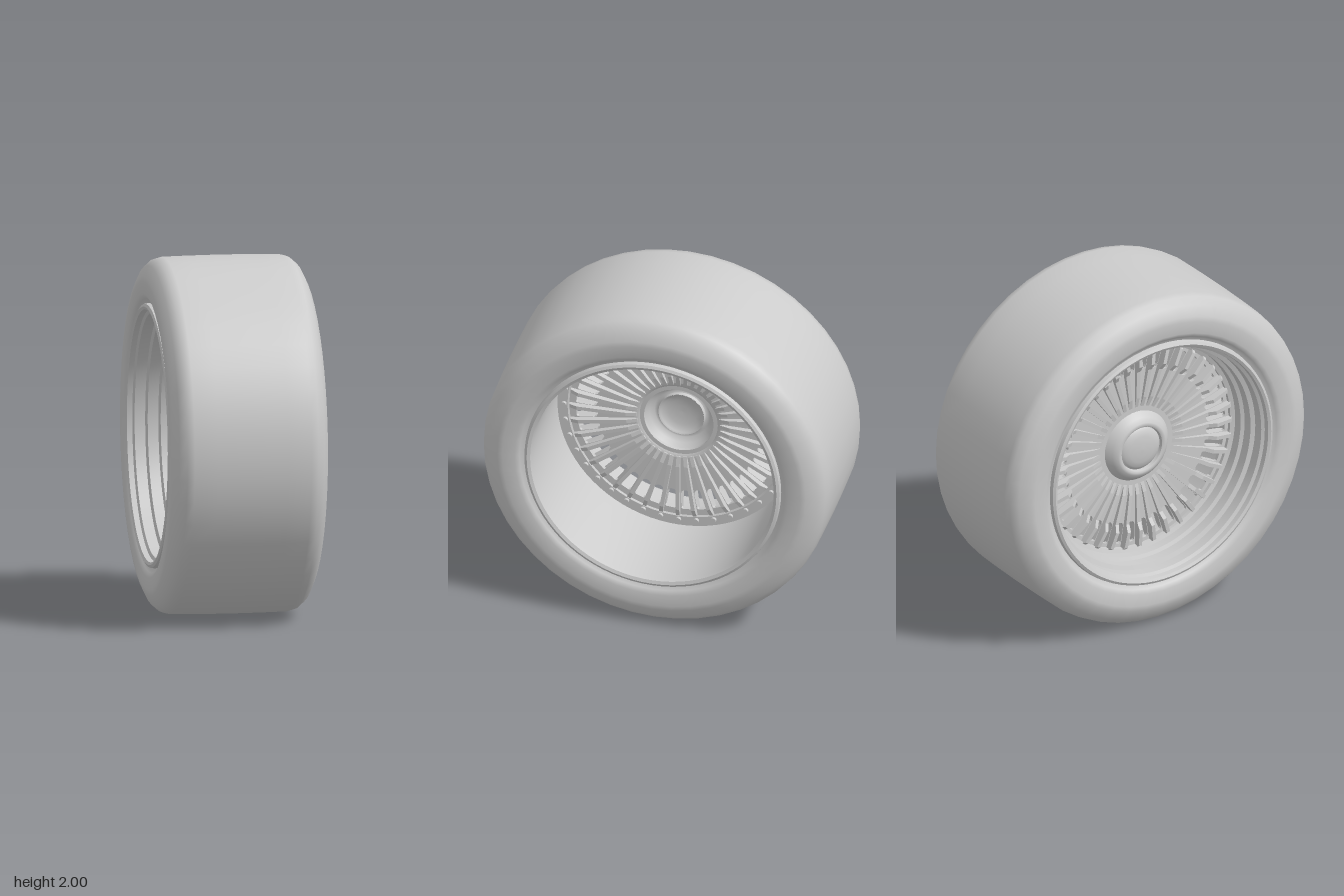
import * as THREE from 'three';
import { toCreasedNormals } from 'three/addons/utils/BufferGeometryUtils.js';

const COUNT = 40; // spokes, slots and bolts
const STEP = (Math.PI * 2) / COUNT;
const material = new THREE.MeshStandardMaterial({ color: 0xcccccc, side: THREE.DoubleSide });

// Revolves [radius, axial] points around the z axis
function revolve(name, points, segments, crease) {
  let g = new THREE.LatheGeometry(points.map(([r, a]) => new THREE.Vector2(r, a)), segments);
  g.rotateX(Math.PI / 2);
  if (crease) g = toCreasedNormals(g, crease);
  const mesh = new THREE.Mesh(g, material);
  mesh.name = name;
  return mesh;
}

// Adds COUNT copies of a geometry in a ring around the z axis
function ring(name, geometry) {
  const group = new THREE.Group();
  group.name = name + 's';
  for (let i = 0; i < COUNT; i++) {
    const mesh = new THREE.Mesh(geometry, material);
    mesh.name = name;
    mesh.rotation.z = i * STEP;
    group.add(mesh);
  }
  return group;
}

// Tyre: half section from tread centre to bead, mirrored
function makeTyre() {
  const half = [[1, 0], [0.998, 0.2], [0.995, 0.33], [0.985, 0.37], [0.95, 0.41], [0.89, 0.438],
    [0.86, 0.442], [0.79, 0.44], [0.765, 0.425], [0.75, 0.41], [0.72, 0.4]];
  const mirrored = half.slice(1).reverse().map(([r, a]) => [r, -a]);
  return revolve('tyre', [...mirrored, ...half], 48);
}

// Rim: deep plain barrel on one side, flange, stepped well on the other
function makeRim() {
  return revolve('rim', [
    [0.74, 0.405], [0.735, 0.43], [0.72, 0.438], [0.702, 0.43], [0.698, 0.40],
    [0.698, -0.14], [0.64, -0.14], [0.615, -0.165], [0.615, -0.185], [0.64, -0.195],
    [0.64, -0.25], [0.66, -0.26], [0.66, -0.32], [0.685, -0.33], [0.685, -0.39],
    [0.702, -0.40], [0.705, -0.43], [0.72, -0.438], [0.735, -0.43], [0.74, -0.405],
  ], 80, 0.7);
}

// Disc pierced by slots with round inner ends
function makeDisc() {
  const shape = new THREE.Shape().absarc(0, 0, 0.63, 0, Math.PI * 2, false);
  shape.holes.push(new THREE.Path().absarc(0, 0, 0.2, 0, Math.PI * 2, true));
  const outline = [[0.585, -0.031], [0.592, -0.024], [0.592, 0.024], [0.585, 0.031],
    [0.49, 0.026], [0.476, 0.02], [0.468, 0.009], [0.468, -0.009], [0.476, -0.02], [0.49, -0.026]];
  for (let i = 0; i < COUNT; i++) {
    const t = (i + 0.5) * STEP, c = Math.cos(t), s = Math.sin(t);
    shape.holes.push(new THREE.Path(outline.map(([r, w]) =>
      new THREE.Vector2(r * c - w * s, r * s + w * c))));
  }
  const g = new THREE.ExtrudeGeometry(shape, { depth: 0.02, bevelEnabled: false, curveSegments: 80 });
  g.translate(0, 0, -0.165);
  const mesh = new THREE.Mesh(g, material);
  mesh.name = 'slottedDisc';
  return mesh;
}

// Spoke: upright fin with a step on the outer side, drawn as radius against depth
function makeSpokes() {
  const side = [[0.24, -0.135], [0.3, -0.12], [0.58, -0.11], [0.625, -0.125], [0.635, -0.17],
    [0.61, -0.205], [0.51, -0.215], [0.47, -0.19], [0.3, -0.18], [0.24, -0.165]];
  const shape = new THREE.Shape(side.map(([r, a]) => new THREE.Vector2(r, a)));
  const g = new THREE.ExtrudeGeometry(shape, { depth: 0.022, bevelEnabled: false });
  g.translate(0, 0, -0.011).rotateX(Math.PI / 2);
  return ring('spoke', g);
}

// Bolts through the flange
function makeBolts() {
  const g = new THREE.CylinderGeometry(0.016, 0.016, 0.085, 10);
  g.rotateX(Math.PI / 2).translate(0.66, 0, -0.165);
  return ring('bolt', g);
}

export function createModel() {
  const model = new THREE.Group();
  model.name = 'wheel';
  const hub = revolve('hub', [
    [0.25, -0.14], [0.225, -0.145], [0.215, -0.16], [0.185, -0.2], [0.16, -0.222],
    [0.145, -0.225], [0.135, -0.22], [0.13, -0.2],
  ], 48, 0.8);
  const cap = revolve('hubCap', [
    [0.132, -0.2], [0.122, -0.205], [0.11, -0.216], [0.08, -0.224], [0.04, -0.229], [0, -0.23],
  ], 48);
  model.add(makeTyre(), makeRim(), makeDisc(), makeSpokes(), makeBolts(), hub, cap);
  // Axle along x, resting on the ground
  model.rotation.y = Math.PI / 2;
  model.position.y = 1;
  const root = new THREE.Group();
  root.name = 'wheelAssembly';
  root.add(model);
  return root;
}
